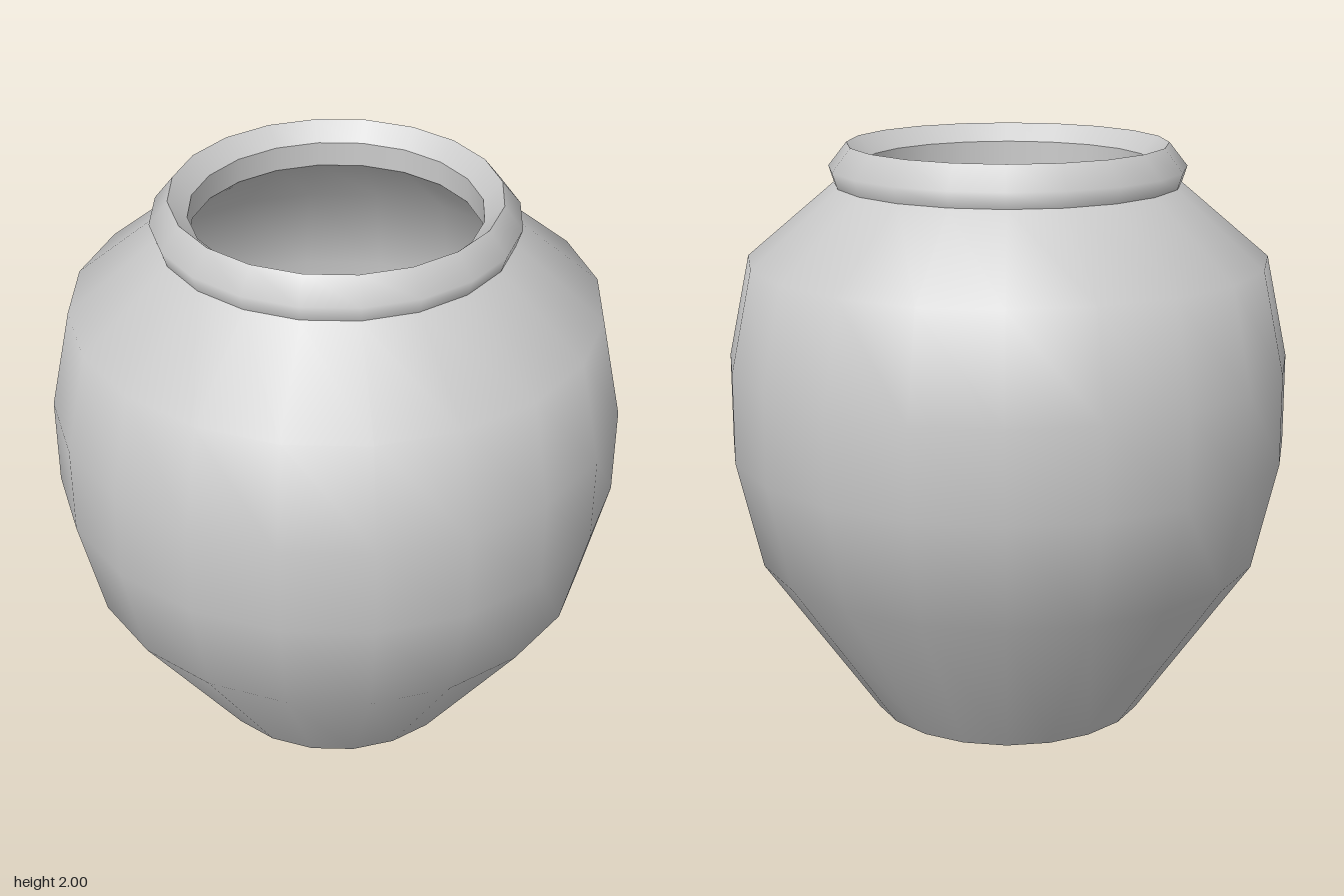
import * as THREE from 'three';

const SIDES = 20;

// Each profile runs [radius, height]; smooth inside a band, creased between bands
const BANDS = {
  underside: [[0, 0.08], [0.44, 0.08]],
  footRecess: [[0.44, 0.08], [0.48, 0]],
  body: [[0.48, 0], [0.88, 0.575], [0.967, 0.95], [0.967, 1.26], [0.893, 1.61], [0.592, 1.865]],
  lip: [[0.592, 1.865], [0.61, 1.92], [0.547, 2]],
  innerLip: [[0.547, 2], [0.485, 1.94]],
  innerNeck: [[0.485, 1.94], [0.485, 1.855]],
  innerWall: [[0.485, 1.855], [0.8, 1.58], [0.88, 1.25], [0.88, 0.95], [0.79, 0.6], [0.44, 0.1]],
  innerFloor: [[0.44, 0.1], [0, 0.1]],
};

export function createModel() {
  const jar = new THREE.Group();
  jar.name = 'jar';
  const material = new THREE.MeshStandardMaterial({ color: 0xcccccc });

  // One closed loop of turned bands, from the underside over the lip to the floor inside
  for (const [name, profile] of Object.entries(BANDS)) {
    const points = profile.map(([r, y]) => new THREE.Vector2(r, y));
    const band = new THREE.Mesh(new THREE.LatheGeometry(points, SIDES), material);
    band.name = name;
    jar.add(band);
  }
  return jar;
}
